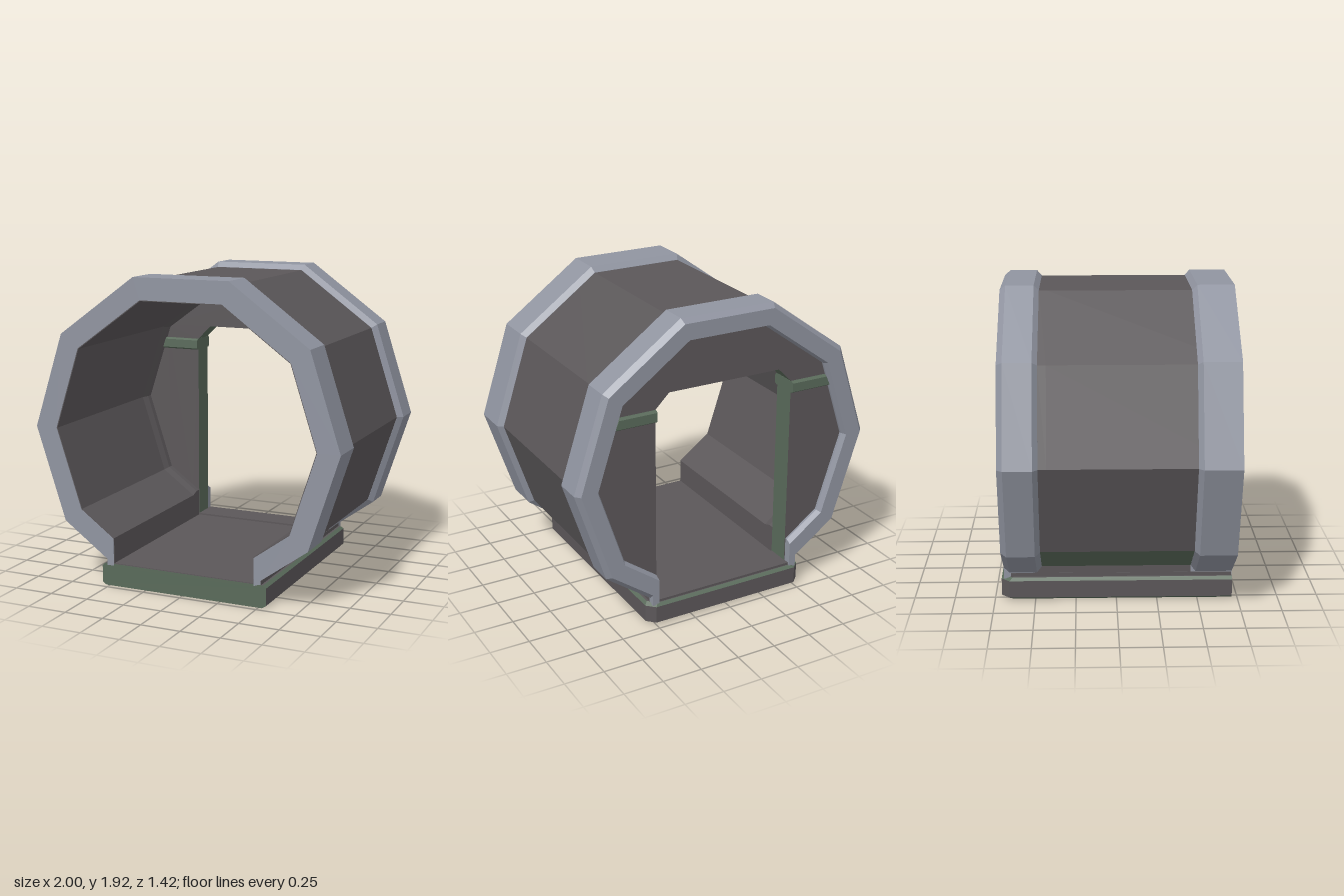
import * as THREE from 'three';

const slate = new THREE.MeshStandardMaterial({ color: 0x9094a0 });
slate.name = 'slate trim';
const grey = new THREE.MeshStandardMaterial({ color: 0x5b5759 });
grey.name = 'dark grey panel';
const green = new THREE.MeshStandardMaterial({ color: 0x596a5a });
green.name = 'muted green';

const CENTRE_Y = 0.97;
const FOOT_X = 0.515;
const FOOT_Y = 0.13;

// Height where the lower sloping side of a decagon of radius r crosses x
const slopeY = (r, x) => {
  const a = 0.3 * Math.PI;
  return CENTRE_Y - (r * Math.cos(Math.PI / 10) - x * Math.cos(a)) / Math.sin(a);
};

// Decagon corners from lower right, over the top, to lower left
function arc(r) {
  const pts = [];
  for (let i = -1; i <= 6; i++) {
    const a = (i * Math.PI) / 5;
    pts.push([r * Math.cos(a), CENTRE_Y + r * Math.sin(a)]);
  }
  return pts;
}

// Outer edge of the hull with its two vertical feet
const outerEdge = (r) => [
  [FOOT_X, FOOT_Y], [FOOT_X, slopeY(r, FOOT_X)], ...arc(r),
  [-FOOT_X, slopeY(r, FOOT_X)], [-FOOT_X, FOOT_Y],
];

// Decagonal band that is open at the floor
const band = (ro, ri, xi) => [
  ...outerEdge(ro),
  [-xi, FOOT_Y], [-xi, slopeY(ri, xi)], ...arc(ri).reverse(), [xi, slopeY(ri, xi)], [xi, FOOT_Y],
];

// Joins matching outlines along z (back to front) with flat faces and end caps
function loft(sections, slot = () => 0) {
  const buckets = [[], []];
  const put = (s, ...corners) => corners.forEach((c) => buckets[s].push(...c));
  const at = (s, i) => [...s.pts[i], s.z];
  for (let k = 0; k < sections.length - 1; k++) {
    const a = sections[k], b = sections[k + 1], n = a.pts.length;
    for (let i = 0; i < n; i++) {
      const j = (i + 1) % n;
      put(slot(i, k), at(a, i), at(a, j), at(b, j), at(a, i), at(b, j), at(b, i));
    }
  }
  const cap = (s, flip) => {
    const v = s.pts.map((p) => new THREE.Vector2(...p));
    for (const [i, j, k] of THREE.ShapeUtils.triangulateShape(v, [])) {
      put(0, at(s, i), at(s, flip ? k : j), at(s, flip ? j : k));
    }
  };
  cap(sections[0], true);
  cap(sections[sections.length - 1], false);

  const g = new THREE.BufferGeometry();
  g.setAttribute('position', new THREE.Float32BufferAttribute(buckets.flat(), 3));
  g.addGroup(0, buckets[0].length / 3, 0);
  g.addGroup(buckets[0].length / 3, buckets[1].length / 3, 1);
  g.computeVertexNormals();
  return g;
}

export function createModel() {
  const group = new THREE.Group();
  const add = (name, geometry, material) => {
    const m = new THREE.Mesh(geometry, material);
    m.name = name;
    group.add(m);
    return m;
  };
  const addBox = (name, mat, x0, x1, y0, y1, z0, z1) => {
    add(name, new THREE.BoxGeometry(x1 - x0, y1 - y0, z1 - z0), mat)
      .position.set((x0 + x1) / 2, (y0 + y1) / 2, (z0 + z1) / 2);
  };
  const bands = (rows, xi) => rows.map(([z, ro, ri]) => ({ z, pts: band(ro, ri, xi) }));

  // Hull shell, with green lower outer panels
  add('hullShell',
    loft(bands([[-0.52, 0.965, 0.838], [-0.46, 0.965, 0.838], [-0.41, 0.965, 0.853], [0.712, 0.965, 0.853]], 0.467),
      (i) => (i === 1 || i === 10 - 1 ? 1 : 0)),
    [grey, green]);

  // Bevelled end rings
  add('frontRing', loft(bands([[0.46, 0.966, 0.858], [0.49, 1, 0.858], [0.715, 1, 0.858]], 0.47)), [slate, slate]);
  add('backRing',
    loft(bands([[-0.695, 0.97, 0.865], [-0.66, 1, 0.85], [-0.49, 1, 0.85], [-0.46, 0.966, 0.85]], 0.47)),
    [slate, slate]);

  // Back wall with a doorway; the doorway edges are green
  const outline = [
    ...outerEdge(0.855),
    [-0.465, FOOT_Y], [-0.465, 1.39], [-0.375, 1.48], [0.375, 1.48], [0.465, 1.39], [0.465, FOOT_Y],
  ].map((p) => new THREE.Vector2(...p));
  const wall = new THREE.ExtrudeGeometry(new THREE.Shape(outline), { depth: 0.145, bevelEnabled: false });
  wall.translate(0, 0, -0.645);
  add('backWall', wall, [grey, green]);

  // Bars running from the doorway to the hull, on both faces of the wall
  for (const s of [-1, 1]) {
    const pts = [[0.464, 1.315], [0.735, 1.315], [0.71, 1.39], [0.464, 1.39]].map(([x, y]) => [s * x, y]);
    if (s < 0) pts.reverse();
    const thin = pts.map(([x, y]) => [x, y + (y > 1.35 ? -0.01 : 0.01)]);
    add(s > 0 ? 'leftWallBar' : 'rightWallBar',
      loft([{ z: -0.67, pts: thin }, { z: -0.655, pts }, { z: -0.49, pts }, { z: -0.475, pts: thin }]),
      [green, green]);
  }

  // Base slab: bevels and front face green, the rest grey
  const slab = (d) => [
    [0.55 - d, -0.715], [0.55 - d, 0.66 - d], [0.5 - d, 0.71 - d],
    [-0.5 + d, 0.71 - d], [-0.55 + d, 0.66 - d], [-0.55 + d, -0.715],
  ];
  const base = loft(
    [[0, 0.025], [0.017, 0], [0.125, 0], [0.142, 0.02]].map(([z, d]) => ({ z, pts: slab(d) })),
    (i, k) => (i === 5 || k !== 1 ? 1 : 0));
  base.rotateX(-Math.PI / 2);
  add('baseSlab', base, [grey, green]);

  // Floor and doorway sill
  addBox('floor', grey, -0.468, 0.468, 0.13, 0.146, -0.64, 0.711);
  addBox('doorSill', grey, -0.468, 0.468, 0.13, 0.157, -0.685, -0.5);
  // Side plinths between the rings
  for (const s of [-1, 1]) {
    addBox('sidePlinth', grey, s * 0.495 - 0.022, s * 0.495 + 0.022, 0.13, 0.165, -0.65, 0.712);
  }
  return group;
}
